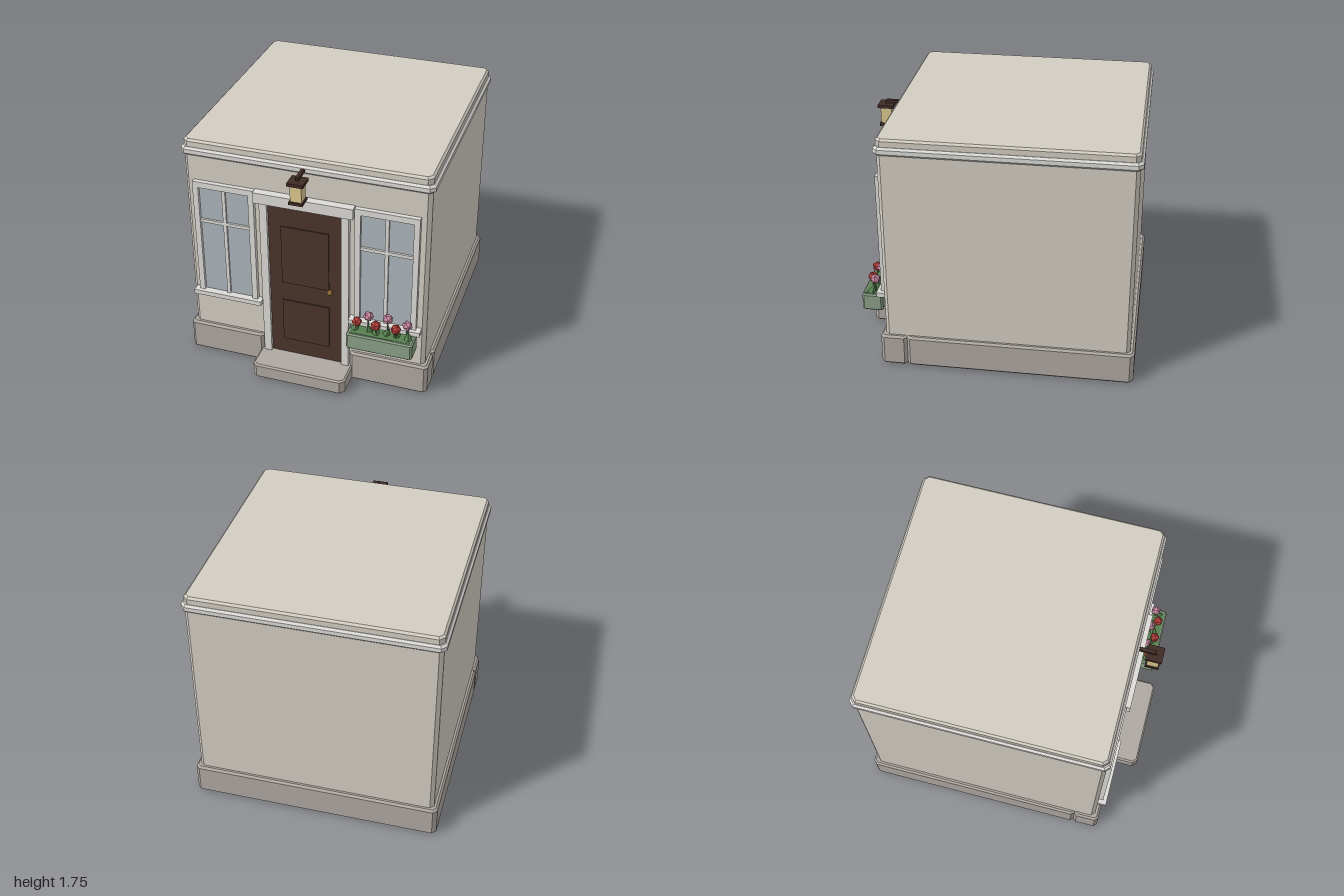
import * as THREE from 'three';

const mat = (color, flatShading = true) => new THREE.MeshStandardMaterial({ color, flatShading });
const M = {
  wall: mat(0xd3cdc3), base: mat(0xafa8a2), trim: mat(0xdcdbd7), door: mat(0x4a342b),
  glass: mat(0xadb6bb), planter: mat(0x8a9f86), leaf: mat(0x567f4f), red: mat(0xb8403b),
  pink: mat(0xcb8aa3), iron: mat(0x402b25), lamp: mat(0xdcc88f), brass: mat(0xa07c3c),
};

export function createModel() {
  const root = new THREE.Group();

  const add = (name, geo, material, parent = root) => {
    const mesh = new THREE.Mesh(geo, material);
    mesh.name = name;
    parent.add(mesh);
    return mesh;
  };

  // plain box given by its extents
  const box = (name, m, x0, x1, y0, y1, z0, z1, parent) => {
    const g = new THREE.BoxGeometry(x1 - x0, y1 - y0, z1 - z0);
    g.translate((x0 + x1) / 2, (y0 + y1) / 2, (z0 + z1) / 2);
    return add(name, g, m, parent);
  };

  // box with cut corners (c) and a single chamfer (b) on top and bottom edges
  const chamferBox = (name, m, x0, x1, y0, y1, z0, z1, c, b, parent) => {
    const w = (x1 - x0) / 2 - b, d = (z1 - z0) / 2 - b;
    const pts = [[w - c, -d], [w, c - d], [w, d - c], [w - c, d],
      [c - w, d], [-w, d - c], [-w, c - d], [c - w, -d]];
    const shape = new THREE.Shape(pts.map(p => new THREE.Vector2(...p)));
    const g = new THREE.ExtrudeGeometry(shape, {
      depth: y1 - y0 - 2 * b, bevelEnabled: true, bevelSize: b, bevelThickness: b, bevelSegments: 1,
    });
    g.rotateX(-Math.PI / 2);
    g.translate((x0 + x1) / 2, y0 + b, (z0 + z1) / 2);
    return add(name, g, m, parent);
  };

  // Building mass
  chamferBox('walls', M.wall, -0.87, 0.87, 0.1, 1.68, -0.97, 0.775, 0.02, 0.012);
  chamferBox('cornice', M.trim, -0.89, 0.89, 1.64, 1.7, -0.99, 0.797, 0.025, 0.015);
  chamferBox('roofSlab', M.wall, -0.872, 0.872, 1.67, 1.755, -0.972, 0.78, 0.025, 0.015);

  // Plinth: rear block plus one block on each side of the door
  chamferBox('plinthRear', M.base, -0.9, 0.9, 0, 0.237, -1, 0.625, 0.02, 0.015);
  for (const [x0, x1] of [[-0.9, -0.325], [0.325, 0.9]])
    chamferBox('plinthFront', M.base, x0, x1, 0, 0.237, 0.615, 0.807, 0.015, 0.015);
  chamferBox('doorStep', M.base, -0.347, 0.347, 0, 0.115, 0.62, 1, 0.025, 0.012);

  // Door with two raised panels and a knob
  const door = new THREE.Group();
  door.name = 'door';
  root.add(door);
  box('doorLeaf', M.door, -0.27, 0.27, 0.112, 1.38, 0.72, 0.786, door);
  for (const [y0, y1] of [[0.24, 0.585], [0.735, 1.2]])
    box('doorPanel', M.door, -0.173, 0.173, y0, y1, 0.77, 0.795, door);
  add('doorKnob', new THREE.IcosahedronGeometry(0.02, 1), M.brass, door).position.set(0.185, 0.735, 0.815);
  const stem = add('knobStem', new THREE.CylinderGeometry(0.009, 0.009, 0.03, 8), M.brass, door);
  stem.rotation.x = Math.PI / 2;
  stem.position.set(0.185, 0.735, 0.795);
  for (const s of [-1, 1])
    box('doorJamb', M.trim, s * 0.2925 - 0.0275, s * 0.2925 + 0.0275, 0.112, 1.38, 0.72, 0.81, door);
  box('doorHeader', M.trim, -0.355, 0.355, 1.375, 1.455, 0.74, 0.833, door);

  // Windows
  for (const s of [-1, 1]) {
    const win = new THREE.Group();
    win.name = 'window';
    win.position.x = s * 0.583;
    root.add(win);
    box('windowGlass', M.glass, -0.19, 0.19, 0.54, 1.41, 0.75, 0.785, win);
    for (const t of [-1, 1])
      box('windowStile', M.trim, t * 0.203 - 0.02, t * 0.203 + 0.02, 0.512, 1.45, 0.75, 0.808, win);
    box('windowHead', M.trim, -0.185, 0.185, 1.405, 1.45, 0.75, 0.808, win);
    box('mullion', M.trim, -0.0125, 0.0125, 0.54, 1.41, 0.75, 0.8, win);
    box('transom', M.trim, -0.185, 0.185, 1.124, 1.149, 0.75, 0.8, win);
    box('windowSill', M.trim, -0.257, 0.257, 0.518, 0.553, 0.75, 0.836, win);
  }

  // Flower box
  const planter = new THREE.Group();
  planter.name = 'flowerBox';
  root.add(planter);
  chamferBox('planterBox', M.planter, 0.343, 0.817, 0.39, 0.518, 0.8, 0.948, 0.008, 0.01, planter);
  box('planterGreenery', M.leaf, 0.365, 0.795, 0.5, 0.521, 0.815, 0.93, planter);
  const blooms = [[0.405, 0.588, 0.88], [0.476, 0.622, 0.842], [0.545, 0.596, 0.897],
    [0.616, 0.632, 0.845], [0.687, 0.594, 0.893], [0.758, 0.617, 0.858]];
  blooms.forEach(([x, y, z], i) => {
    const flower = add('flower', new THREE.IcosahedronGeometry(0.038, 0), i % 2 ? M.pink : M.red, planter);
    flower.position.set(x, y, z);
    flower.rotation.set(0.3 * i, 0.7 * i, 0);
    const stalk = add('flowerStalk', new THREE.CylinderGeometry(0.006, 0.006, y - 0.51, 5), M.leaf, planter);
    stalk.position.set(x, (y + 0.51) / 2, z);
    const leaf = add('leaf', new THREE.ConeGeometry(0.032, 0.07, 4), M.leaf, planter);
    leaf.position.set(x + (i % 2 ? 0.012 : -0.005), 0.546, 0.875);
    leaf.rotation.set(0, i, i % 2 ? 0.35 : -0.35);
  });

  // Lantern on a wall arm
  const lantern = new THREE.Group();
  lantern.name = 'lantern';
  root.add(lantern);
  box('lanternArm', M.iron, -0.013, 0.013, 1.66, 1.682, 0.77, 0.91, lantern);
  box('lanternPost', M.iron, -0.01, 0.01, 1.65, 1.67, 0.895, 0.915, lantern);
  box('lanternCap', M.iron, -0.057, 0.057, 1.632, 1.655, 0.85, 0.964, lantern);
  box('lanternGlass', M.lamp, -0.04, 0.04, 1.505, 1.635, 0.867, 0.947, lantern);
  box('lanternFoot', M.iron, -0.049, 0.049, 1.49, 1.512, 0.858, 0.956, lantern);

  return root;
}
